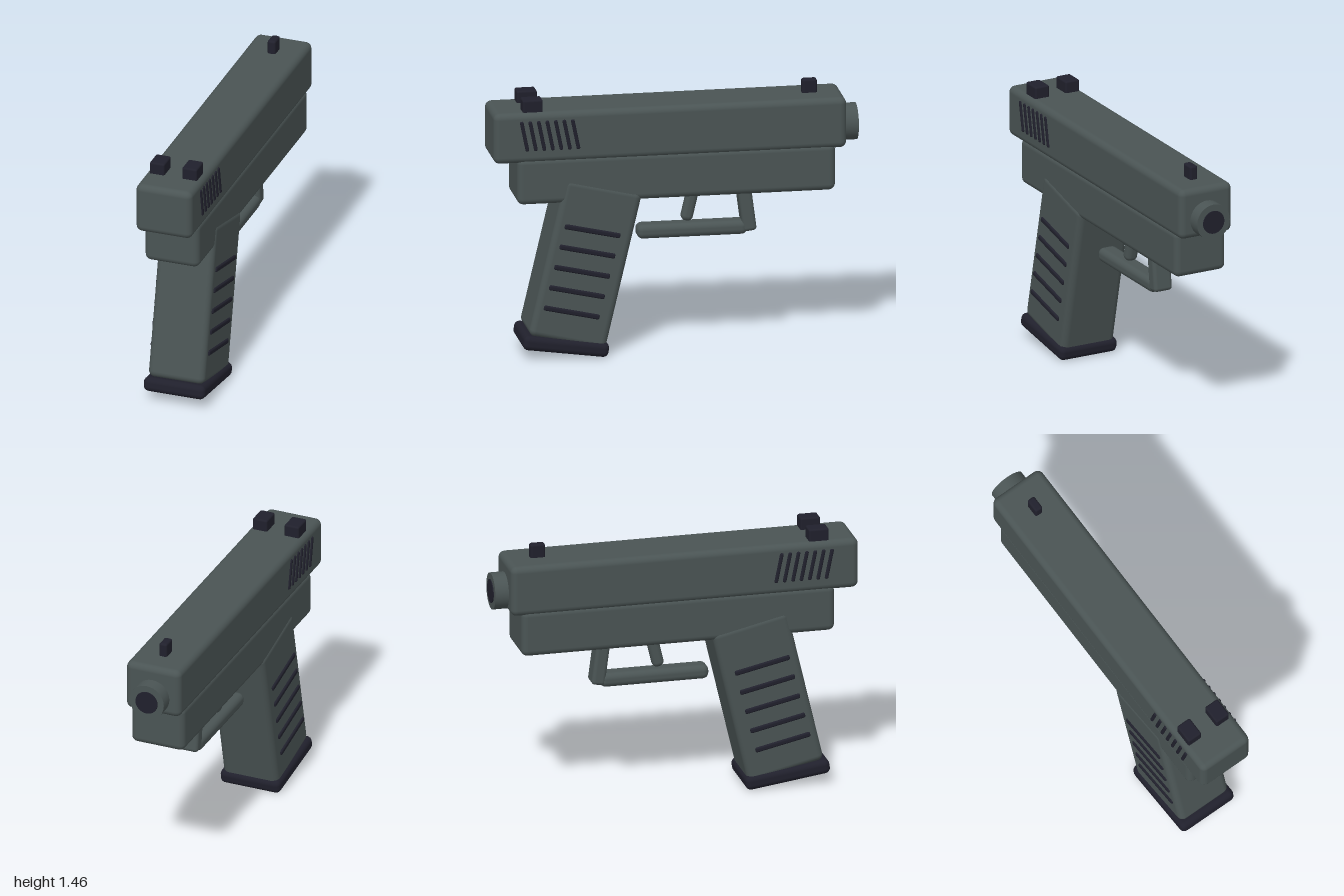
import * as THREE from 'three';
import { RoundedBoxGeometry } from 'three/addons/geometries/RoundedBoxGeometry.js';

export function createModel() {
  const model = new THREE.Group();
  const body = new THREE.MeshStandardMaterial({ color: 0x4a5454 });
  body.name = 'grey green body';
  const dark = new THREE.MeshStandardMaterial({ color: 0x20202c });
  dark.name = 'dark trim';

  // Rounded block: size and position as [x, y, z], tilted about x
  function block(name, material, size, position, tilt = 0, radius = 0.03, parent = model) {
    const mesh = new THREE.Mesh(new RoundedBoxGeometry(...size, 3, radius), material);
    mesh.name = name;
    mesh.position.set(...position);
    mesh.rotation.x = tilt;
    parent.add(mesh);
    return mesh;
  }

  // Cylinder lying along z
  function tube(name, material, radius, length, y, z) {
    const mesh = new THREE.Mesh(new THREE.CylinderGeometry(radius, radius, length, 32), material);
    mesh.name = name;
    mesh.rotation.x = Math.PI / 2;
    mesh.position.set(0, y, z);
    model.add(mesh);
  }

  // Upper slide and lower frame
  block('slide', body, [0.32, 0.28, 1.92], [0, 1.25, 0.04], 0, 0.035);
  block('frame', body, [0.31, 0.26, 1.73], [0, 1.005, 0.005], 0, 0.035);

  // Barrel with dark bore disc
  tube('barrel', body, 0.1, 0.16, 1.215, -0.915);
  tube('bore', dark, 0.064, 0.008, 1.215, -0.996);

  // Raked grip and base pad
  block('grip', body, [0.32, 0.89, 0.43], [0, 0.53, 0.5], -0.23, 0.035);
  block('basePad', dark, [0.35, 0.08, 0.47], [0, 0.078, 0.607], -0.14, 0.03);

  // Trigger and its guard
  block('trigger', body, [0.07, 0.23, 0.065], [0, 0.82, -0.095], -0.23, 0.028);
  block('guardRail', body, [0.11, 0.078, 0.6], [0, 0.662, -0.1], 0, 0.032);
  block('guardPost', body, [0.11, 0.28, 0.075], [0, 0.78, -0.395], 0.13, 0.02);

  // Sights
  block('frontSight', dark, [0.046, 0.1, 0.082], [0, 1.415, -0.74], 0, 0.012);
  for (const side of [-1, 1]) {
    block('rearSight', dark, [0.085, 0.08, 0.11], [side * 0.0925, 1.415, 0.785], 0, 0.01);

    // Grip ribs
    for (let i = 0; i < 5; i++) {
      block('gripRib', dark, [0.02, 0.028, 0.31],
        [side * 0.16, 0.717 - i * 0.112, 0.465 + i * 0.0283], -0.22, 0.009);
    }
    // Slanted slide grooves
    for (let i = 0; i < 7; i++) {
      block('slideGroove', dark, [0.02, 0.17, 0.02],
        [side * 0.159, 1.263, 0.835 - i * 0.0463], 0.2, 0.008);
    }
  }
  return model;
}
